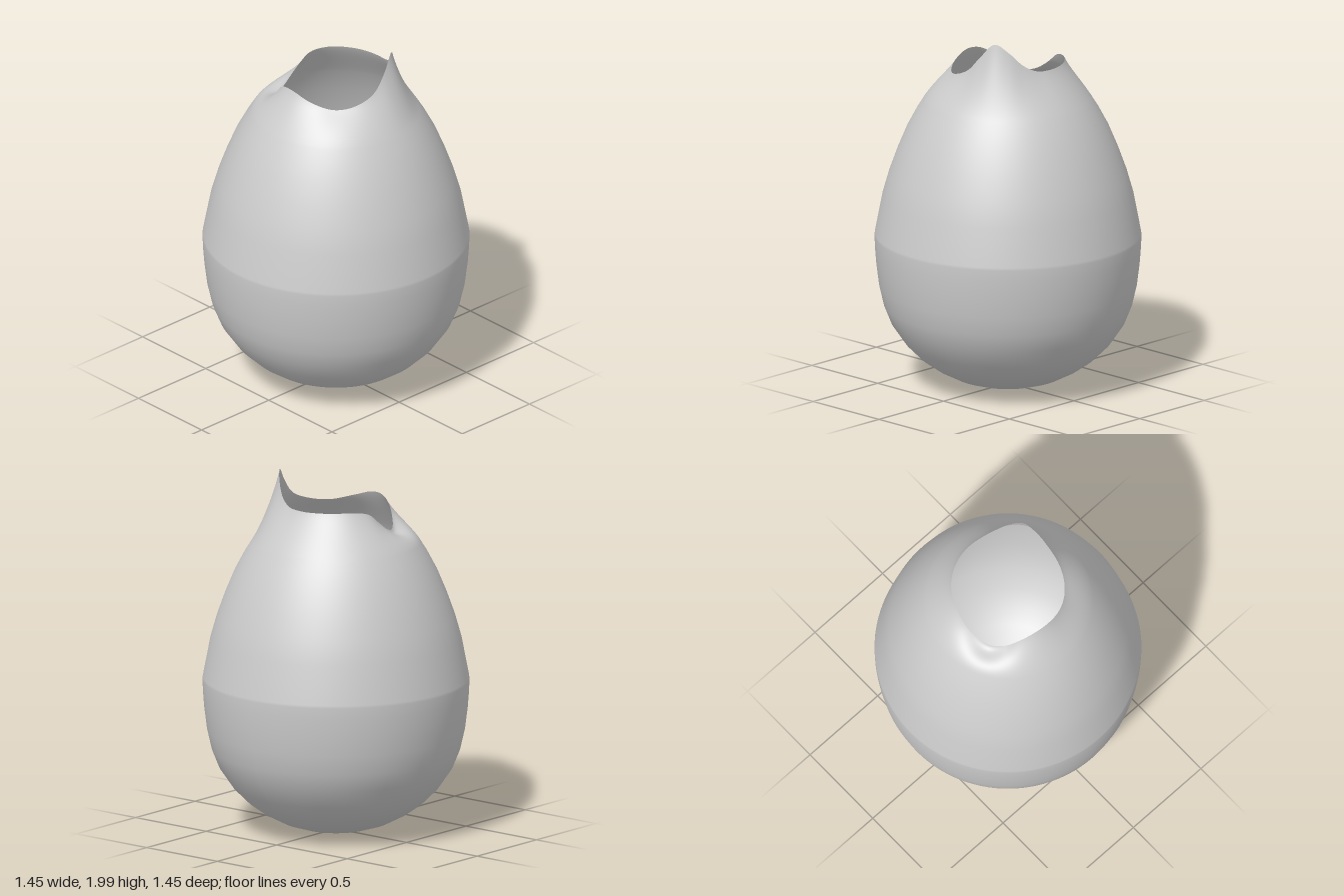
import * as THREE from 'three';

const COLS = 144;
const NECK_ROWS = 18;
const RIM_R = 0.308;

// Body profile: [radius, height] from the base up to the shoulder ring
const BODY = [
  [0, 0.005], [0.1, 0.01], [0.2, 0.027], [0.3, 0.06], [0.4, 0.113], [0.48, 0.17], [0.56, 0.25],
  [0.635, 0.36], [0.675, 0.46], [0.7, 0.57], [0.715, 0.69], [0.722, 0.78], [0.724, 0.845],
  [0.722, 0.86], [0.682, 1.07], [0.645, 1.2], [0.6, 1.325], [0.55, 1.445], [0.497, 1.545], [0.46, 1.605],
];

// Rim height by angle in degrees (0 = front, 90 = left): high lip, low notch
const RIM = [
  [0, 1.83], [20, 1.80], [45, 1.77], [68, 1.785], [90, 1.835], [106, 1.925], [121, 2.0],
  [135, 1.955], [150, 1.88], [165, 1.84], [180, 1.832], [210, 1.832], [238, 1.832],
  [255, 1.815], [270, 1.755], [285, 1.705], [300, 1.69], [315, 1.72], [330, 1.785], [345, 1.825],
];

// Open vessel skin: body rings plus a neck swept up to the wavy rim
function shellGeometry() {
  const rim = new THREE.CatmullRomCurve3(
    RIM.map(([deg, h]) => {
      const a = THREE.MathUtils.degToRad(deg);
      return new THREE.Vector3(RIM_R * Math.sin(a), h, RIM_R * Math.cos(a));
    }), true, 'centripetal');
  const columns = rim.getPoints(COLS).slice(0, COLS).map((p) => {
    const a = Math.atan2(p.x, p.z);
    const deg = (THREE.MathUtils.radToDeg(a) + 360) % 360;
    const spout = Math.exp(-(((deg - 298) / 18) ** 2));
    // Neck meridian: leaves along the body, rises to the rim, rolls over at the spout
    const neck = new THREE.CubicBezierCurve(
      new THREE.Vector2(0.46, 1.605),
      new THREE.Vector2(0.405, 1.69),
      new THREE.Vector2(0.335, 1.69 + (p.y - 1.69) * 0.6 - 0.05 * spout),
      new THREE.Vector2(RIM_R, p.y));
    const line = BODY.map(([r, y]) => new THREE.Vector2(r, y));
    return { a, line: line.concat(neck.getPoints(NECK_ROWS).slice(1)) };
  });

  const rows = columns[0].line.length;
  const positions = [];
  const indices = [];
  for (let j = 0; j < rows; j++) {
    for (const { a, line } of columns) {
      positions.push(line[j].x * Math.sin(a), line[j].y, line[j].x * Math.cos(a));
    }
  }
  for (let j = 0; j < rows - 1; j++) {
    for (let i = 0; i < COLS; i++) {
      const n = (i + 1) % COLS;
      const p = j * COLS + i, q = j * COLS + n;
      indices.push(p, q + COLS, p + COLS);
      if (j > 0) indices.push(p, q, q + COLS);
    }
  }
  const geometry = new THREE.BufferGeometry();
  geometry.setAttribute('position', new THREE.Float32BufferAttribute(positions, 3));
  geometry.setIndex(indices);
  geometry.computeVertexNormals();
  // The base pole points straight down
  for (let i = 0; i < COLS; i++) geometry.attributes.normal.setXYZ(i, 0, -1, 0);
  return geometry;
}

export function createModel() {
  const group = new THREE.Group();
  group.name = 'vessel';
  const material = new THREE.MeshStandardMaterial({ color: 0xcccccc, side: THREE.DoubleSide });
  const shell = new THREE.Mesh(shellGeometry(), material);
  shell.name = 'vesselShell';
  group.add(shell);
  return group;
}
